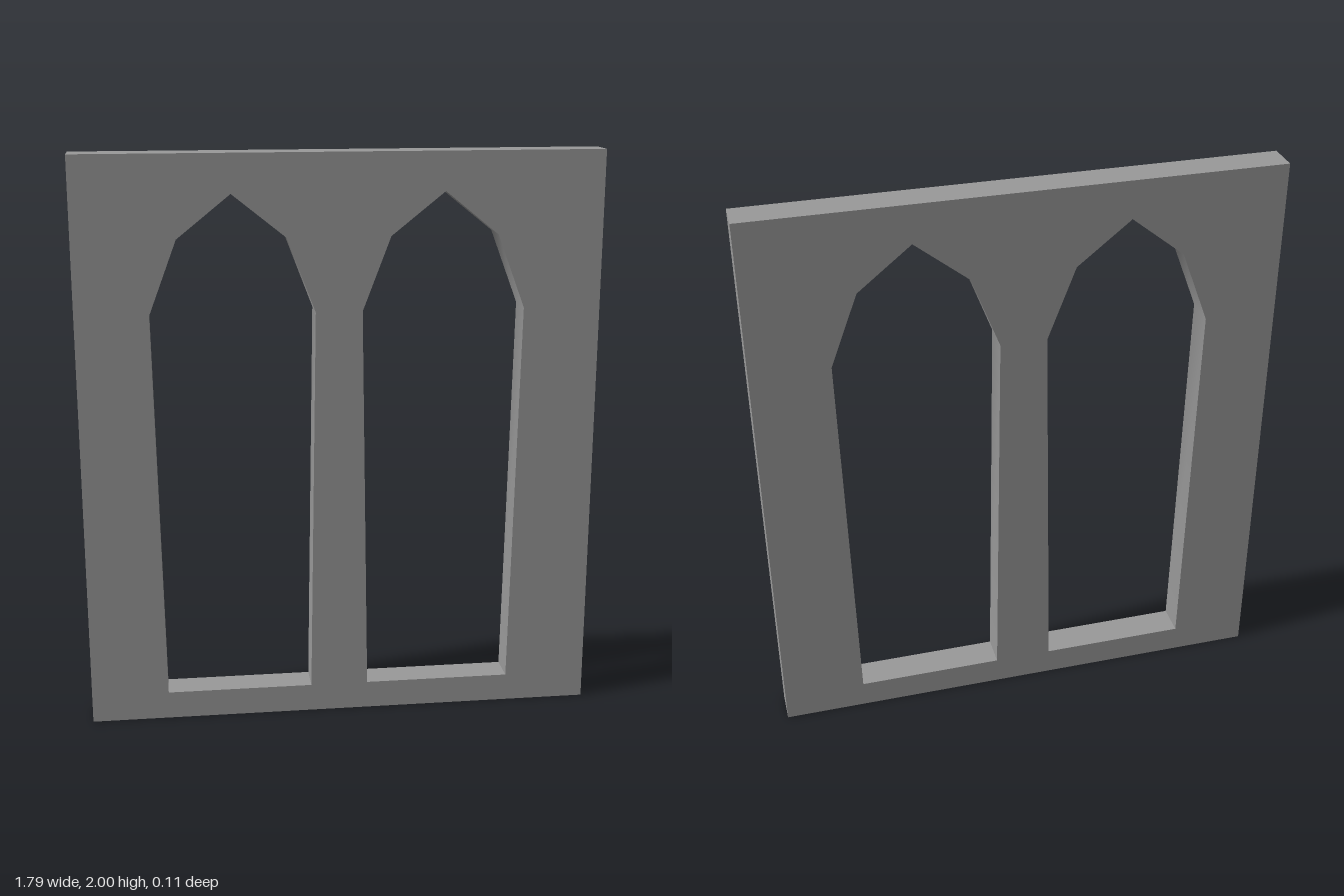
import * as THREE from 'three';
import { toCreasedNormals } from 'three/addons/utils/BufferGeometryUtils.js';

const WIDTH = 1.792, HEIGHT = 2, DEPTH = 0.112;

// Right half of one pointed opening, from sill to shoulder: [half width, height]
const ARCH_SIDE = [[0.257, 0.098], [0.279, 1.467], [0.183, 1.72]];
const ARCH_PEAK = 1.867;

// Faceted pointed-arch outline, slightly tapered towards the sill
function archOpening(cx) {
  const right = ARCH_SIDE.map(([x, y]) => new THREE.Vector2(cx + x, y));
  const left = ARCH_SIDE.map(([x, y]) => new THREE.Vector2(cx - x, y)).reverse();
  return new THREE.Path([...right, new THREE.Vector2(cx, ARCH_PEAK), ...left]);
}

export function createModel() {
  const group = new THREE.Group();
  group.name = 'archedWindowFrame';

  // Rectangular slab pierced by two arched openings
  const w = WIDTH / 2;
  const slab = new THREE.Shape([
    new THREE.Vector2(-w, 0), new THREE.Vector2(w, 0),
    new THREE.Vector2(w, HEIGHT), new THREE.Vector2(-w, HEIGHT),
  ]);
  for (const cx of [-0.368, 0.35]) slab.holes.push(archOpening(cx));

  const geometry = new THREE.ExtrudeGeometry(slab, { depth: DEPTH, bevelEnabled: false });
  geometry.translate(0, 0, -DEPTH / 2);

  // Jambs shade smoothly into the arch; peak, sill and slab edges stay sharp
  const frame = new THREE.Mesh(
    toCreasedNormals(geometry, Math.PI / 4),
    new THREE.MeshStandardMaterial({ color: 0x999999 }),
  );
  frame.name = 'windowFrame';
  group.add(frame);
  return group;
}
